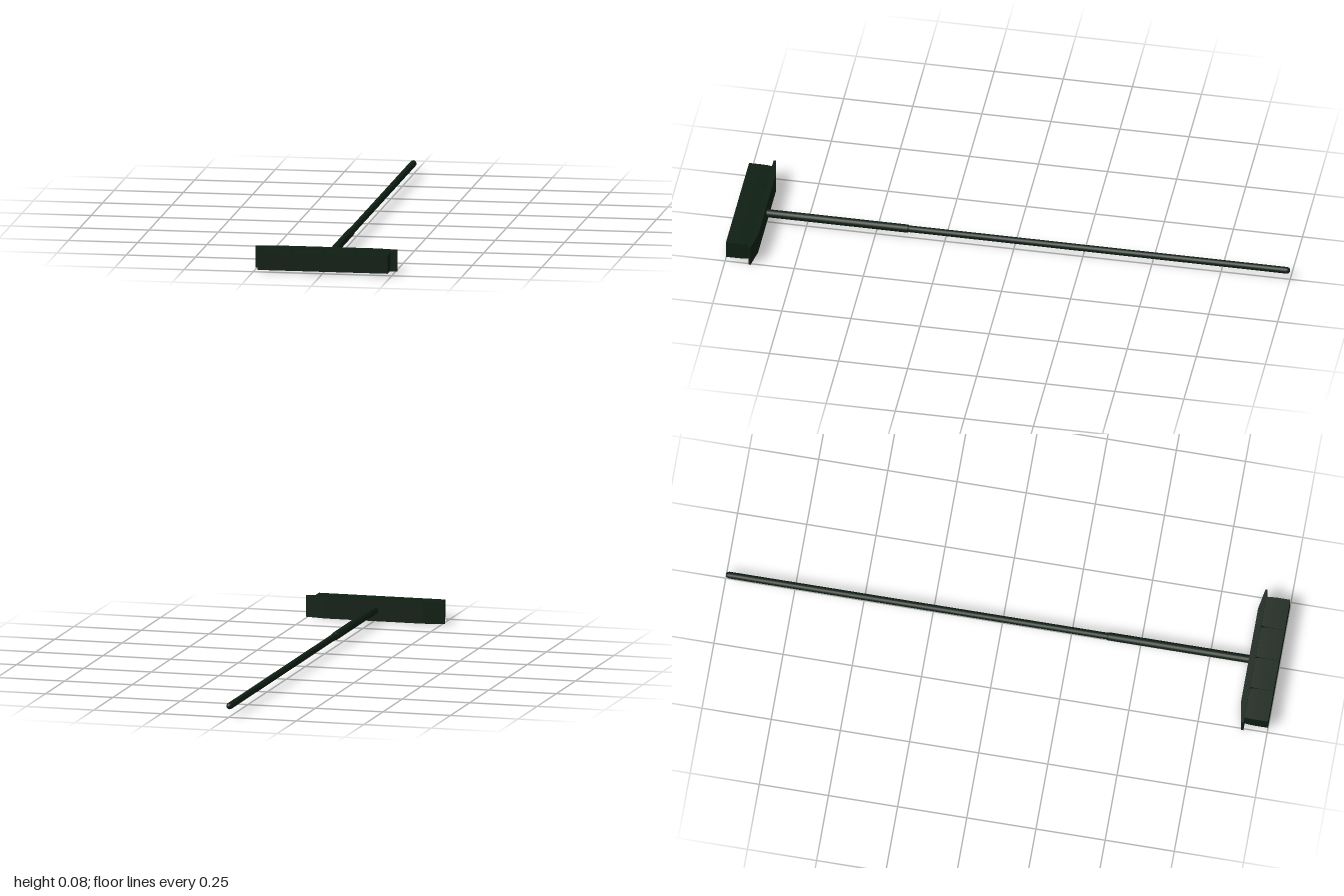
import * as THREE from 'three';

export function createModel() {
  const group = new THREE.Group();
  group.name = 'broom';
  const material = new THREE.MeshStandardMaterial({ color: 0x0f1f13 });
  const midY = 0.039;

  const add = (name, geometry, parent = group) => {
    const mesh = new THREE.Mesh(geometry, material);
    mesh.name = name;
    parent.add(mesh);
    return mesh;
  };

  // Round rod along z, from [radius, z] pairs running from back to front
  const rod = (name, profile) => {
    const points = profile.map(([r, z]) => new THREE.Vector2(r, z));
    const geometry = new THREE.LatheGeometry(points, 20);
    geometry.rotateX(Math.PI / 2);
    add(name, geometry).position.y = midY;
  };

  // Long handle with a rounded tip, and the thicker sleeve that joins the head
  rod('handle', [[0, -1], [0.006, -0.999], [0.01, -0.995], [0.012, -0.988], [0.012, 0.4]]);
  rod('handleSleeve', [[0, 0.38], [0.0125, 0.38], [0.0145, 0.384], [0.0145, 0.9]]);

  // Head plate: thick in the middle, tapering to thin ends
  const outline = new THREE.Shape();
  [[-0.256, 0.915], [-0.256, 0.907], [-0.18, 0.893], [0.18, 0.893], [0.256, 0.907], [0.256, 0.915]]
    .forEach(([x, z], i) => (i ? outline.lineTo(x, -z) : outline.moveTo(x, -z)));
  const plate = new THREE.ExtrudeGeometry(outline, { depth: 0.078, bevelEnabled: false });
  plate.rotateX(-Math.PI / 2);
  add('headPlate', plate);

  // Four bristle blocks side by side, a little narrower where they meet the plate
  const bristles = new THREE.Group();
  bristles.name = 'bristles';
  group.add(bristles);
  const width = 0.1175, length = 0.09;
  for (let i = 0; i < 4; i++) {
    const block = new THREE.BoxGeometry(width - 0.001, 0.064, length, 1, 1, 4);
    const p = block.attributes.position;
    for (let v = 0; v < p.count; v++) {
      const t = p.getZ(v) / length + 0.5;
      const flare = 0.95 + 0.05 * Math.min(1, t * 3);
      p.setXY(v, p.getX(v) * flare, p.getY(v) * flare);
    }
    block.computeVertexNormals();
    add('bristleBlock', block, bristles).position.set((i - 1.5) * width, midY, 1 - length / 2);
  }

  return group;
}
